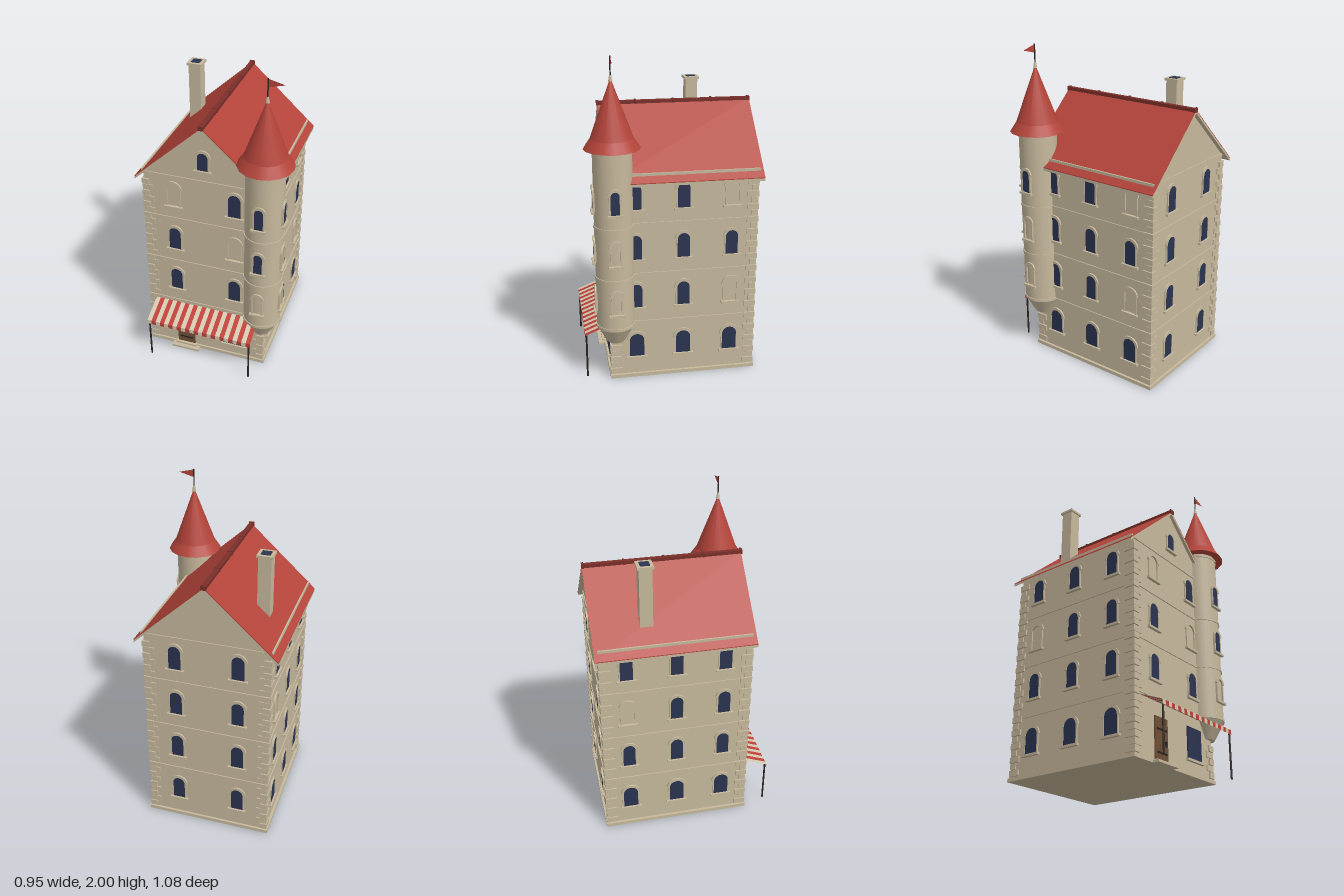
import * as THREE from 'three';

const mat = (name, color, side = THREE.FrontSide) => {
  const m = new THREE.MeshStandardMaterial({ color, side });
  m.name = name;
  return m;
};

export function createModel() {
  const root = new THREE.Group();
  root.name = 'townHouse';
  const stone = mat('stone', 0xc6b89c);
  const red = mat('roofRed', 0xb4443a, THREE.DoubleSide);
  const darkRed = mat('ridgeRed', 0x7a2f29);
  const glass = mat('glass', 0x2b3450);
  const wood = mat('wood', 0x6f5036);
  const iron = mat('iron', 0x2c2623);
  const cream = mat('cream', 0xd6cab0, THREE.DoubleSide);
  const stripe = mat('awningRed', 0xc0403a, THREE.DoubleSide);

  const add = (name, geo, m, x = 0, y = 0, z = 0, parent = root) => {
    const mesh = new THREE.Mesh(geo, m);
    mesh.name = name;
    mesh.position.set(x, y, z);
    parent.add(mesh);
    return mesh;
  };
  // box given by its min and max corners
  const box = (name, m, x0, x1, y0, y1, z0, z1, parent = root) =>
    add(name, new THREE.BoxGeometry(x1 - x0, y1 - y0, z1 - z0), m,
      (x0 + x1) / 2, (y0 + y1) / 2, (z0 + z1) / 2, parent);
  const cyl = (name, m, rTop, rBot, y0, y1, x, z, seg = 24, open = false) =>
    add(name, new THREE.CylinderGeometry(rTop, rBot, y1 - y0, seg, 1, open), m, x, (y0 + y1) / 2, z);
  const extrude = (shape, depth, curveSegments = 8) =>
    new THREE.ExtrudeGeometry(shape, { depth, bevelEnabled: false, curveSegments });
  const poly = pts => new THREE.Shape(pts.map(p => new THREE.Vector2(...p)));

  // main dimensions
  const CX = -0.055, X0 = -0.43, X1 = 0.32, Z0 = -0.51, Z1 = 0.38;
  const TX = 0.307, TZ = 0.352, TR = 0.115;

  // walls with gables, plinth and string courses
  add('walls', extrude(poly([[X0, 0], [X1, 0], [X1, 1.31], [CX, 1.655], [X0, 1.31]]), Z1 - Z0), stone, 0, 0, Z0);
  box('plinth', stone, X0 - 0.016, X1 + 0.016, 0, 0.022, Z0 - 0.014, Z1 + 0.012);
  for (const y of [0.375, 0.695, 1.015, 1.31])
    box('stringCourse', stone, X0 - 0.006, X1 + 0.006, y - 0.008, y + 0.008, Z0 - 0.006, Z1 + 0.006);

  // corner stones, alternating long and short
  for (const sx of [-1, 1]) for (const sz of [-1, 1]) {
    const top = sx > 0 && sz > 0 ? 0.26 : 1.27;
    for (let i = 0, y = 0.03; y + 0.036 < top; i++, y += 0.04) {
      const a = i % 2 ? 0.06 : 0.035, b = i % 2 ? 0.035 : 0.06, out = i % 2 ? 0.007 : 0.01;
      const x = sx > 0 ? X1 : X0, z = sz > 0 ? Z1 : Z0;
      add('cornerStone', new THREE.BoxGeometry(a + out, 0.036, b + out), stone,
        x + sx * (out - a) / 2, y + 0.018, z + sz * (out - b) / 2);
    }
  }

  // arched window facing +z, its sill at the origin
  const windowUnit = (w, h, blind) => {
    const g = new THREE.Group(), r = w / 2, t = 0.017, s = h - r;
    g.name = blind ? 'blindWindow' : 'window';
    const pane = new THREE.Shape();
    pane.moveTo(-r, 0);
    pane.lineTo(r, 0);
    pane.lineTo(r, s);
    pane.absarc(0, s, r, 0, Math.PI);
    if (!blind) add('pane', extrude(pane, 0.006), glass, 0, 0, 0, g);
    const arch = new THREE.Shape();
    arch.moveTo(r, s);
    arch.lineTo(r + t, s);
    arch.absarc(0, s, r + t, 0, Math.PI);
    arch.lineTo(-r, s);
    arch.absarc(0, s, r, Math.PI, 0, true);
    add('arch', extrude(arch, 0.01), stone, 0, 0, 0, g);
    for (const sx of [-1, 1])
      add('jamb', new THREE.BoxGeometry(0.009, s, 0.016), stone, sx * (r + 0.0045), s / 2, 0, g);
    box('sill', stone, -r - 0.02, r + 0.02, -0.012, 0.002, 0, 0.018, g);
    return g;
  };
  const place = (x, y, z, turn, w, h, blind = false) => {
    const g = windowUnit(w, h, blind);
    g.position.set(x, y, z);
    g.rotation.y = turn;
    root.add(g);
  };

  // windows on the four walls
  const floors = [0.14, 0.475, 0.79, 1.105];
  const Q = Math.PI / 2;
  floors.forEach((y, f) => {
    const w = f ? 0.075 : 0.09, h = 0.155;
    for (const x of [-0.245, 0.135]) {
      if (f) place(x, y, Z1, 0, w, h, (f === 3 && x < 0) || (f === 2 && x > 0));
      place(x, y, Z0, Math.PI, 0.075, h);
    }
    for (const z of [0.225, -0.065, -0.36]) {
      place(X1, y, z, Q, w, h, z < -0.3 && (f === 1 || f === 3));
      place(X0, y, z, -Q, w, h, z < -0.3 && f === 2);
    }
    // turret windows
    if (f) {
      place(TX, y + 0.008, TZ + TR - 0.001, 0, 0.052, 0.14, f === 1);
      place(TX + TR - 0.001, y + 0.008, TZ, Q, 0.052, 0.14, f !== 3);
    }
  });
  place(CX, 1.385, Z1, 0, 0.064, 0.117);

  // shop window
  box('shopWindow', glass, 0.063, 0.205, 0.1, 0.29, Z1, Z1 + 0.006);
  box('shopSill', stone, 0.05, 0.217, 0.086, 0.1, Z1, Z1 + 0.018);

  // plank door with iron hinges, and steps
  for (let i = 0; i < 5; i++)
    box('doorPlank', wood, -0.255 + i * 0.024, -0.233 + i * 0.024, 0.022, 0.27, Z1, Z1 + 0.008);
  for (const y of [0.07, 0.2])
    box('doorHinge', iron, -0.24, -0.15, y - 0.005, y + 0.005, Z1 + 0.008, Z1 + 0.012);
  box('doorHandle', iron, -0.165, -0.155, 0.11, 0.14, Z1 + 0.008, Z1 + 0.016);
  box('step', stone, -0.285, -0.1, 0, 0.014, Z1, 0.43);
  box('doorSill', stone, -0.265, -0.125, 0.014, 0.026, Z1, 0.405);

  // striped awning: sloping cloth with a hanging edge, on two posts
  const n = 24, aw = 0.69 / n, drop = 0.065, run = 0.16;
  for (let i = 0; i < n; i++) {
    const m = i % 2 ? stripe : cream, x = -0.4 + (i + 0.5) * aw;
    const cloth = add('awningStripe', new THREE.PlaneGeometry(aw, Math.hypot(drop, run)), m, x, 0.29 + drop / 2, Z1 + run / 2);
    cloth.rotation.x = -Math.atan2(run, drop);
    add('awningEdge', new THREE.PlaneGeometry(aw, 0.028), m, x, 0.276, Z1 + run);
  }
  for (const x of [-0.387, 0.278]) cyl('awningPost', iron, 0.006, 0.006, 0, 0.285, x, 0.533, 8);

  // main roof: stone-edged slabs with a red covering and eaves rails
  const slope = (s, top, thick) => poly([
    [CX, 1.67 + top], [CX + s * 0.425, 1.28 + top],
    [CX + s * 0.425, 1.28 + top - thick], [CX, 1.67 + top - thick]]);
  for (const s of [-1, 1]) {
    add('roofSlab', extrude(slope(s, -0.005, 0.016), 0.94), stone, 0, 0, -0.54);
    add('roofCovering', extrude(slope(s, 0, 0.005), 0.94), red, 0, 0, -0.54);
    box('eavesRail', stone, CX + s * 0.385 - 0.005, CX + s * 0.385 + 0.005, 1.31, 1.328, -0.52, 0.38);
  }
  // ridge tiles with raised joints
  box('ridge', darkRed, CX - 0.014, CX + 0.014, 1.655, 1.677, -0.54, 0.4);
  for (const z of [-0.535, -0.298, -0.063, 0.17, 0.4])
    box('ridgeJoint', darkRed, CX - 0.016, CX + 0.016, 1.654, 1.681, z - 0.006, z + 0.006);

  // chimney
  const KX = -0.315, KZ = -0.223;
  box('chimney', stone, KX - 0.038, KX + 0.038, 1.3, 1.757, KZ - 0.038, KZ + 0.038);
  box('chimneyCap', stone, KX - 0.047, KX + 0.047, 1.755, 1.77, KZ - 0.047, KZ + 0.047);
  box('flueOpening', glass, KX - 0.028, KX + 0.028, 1.768, 1.772, KZ - 0.028, KZ + 0.028);

  // corner turret
  cyl('turretCorbel', stone, TR + 0.003, 0.055, 0.26, 0.375, TX, TZ);
  cyl('turret', stone, TR, TR, 0.375, 1.48, TX, TZ, 32);
  for (const y of [0.378, 0.695, 1.015, 1.465])
    cyl('turretBand', stone, TR + 0.005, TR + 0.005, y - 0.008, y + 0.008, TX, TZ, 32);
  cyl('turretSpire', red, 0.004, 0.125, 1.54, 1.87, TX, TZ, 16, true);
  cyl('turretEaves', red, 0.125, 0.165, 1.48, 1.54, TX, TZ, 16);

  // finial, pole and pennant
  cyl('finial', stone, 0.006, 0.012, 1.86, 1.895, TX, TZ, 10);
  cyl('flagPole', iron, 0.004, 0.004, 1.88, 2, TX, TZ, 8);
  add('pennant', new THREE.ShapeGeometry(poly([[0, 1.948], [0.095, 1.973], [0, 1.997]])), red, TX, 0, TZ);

  return root;
}
